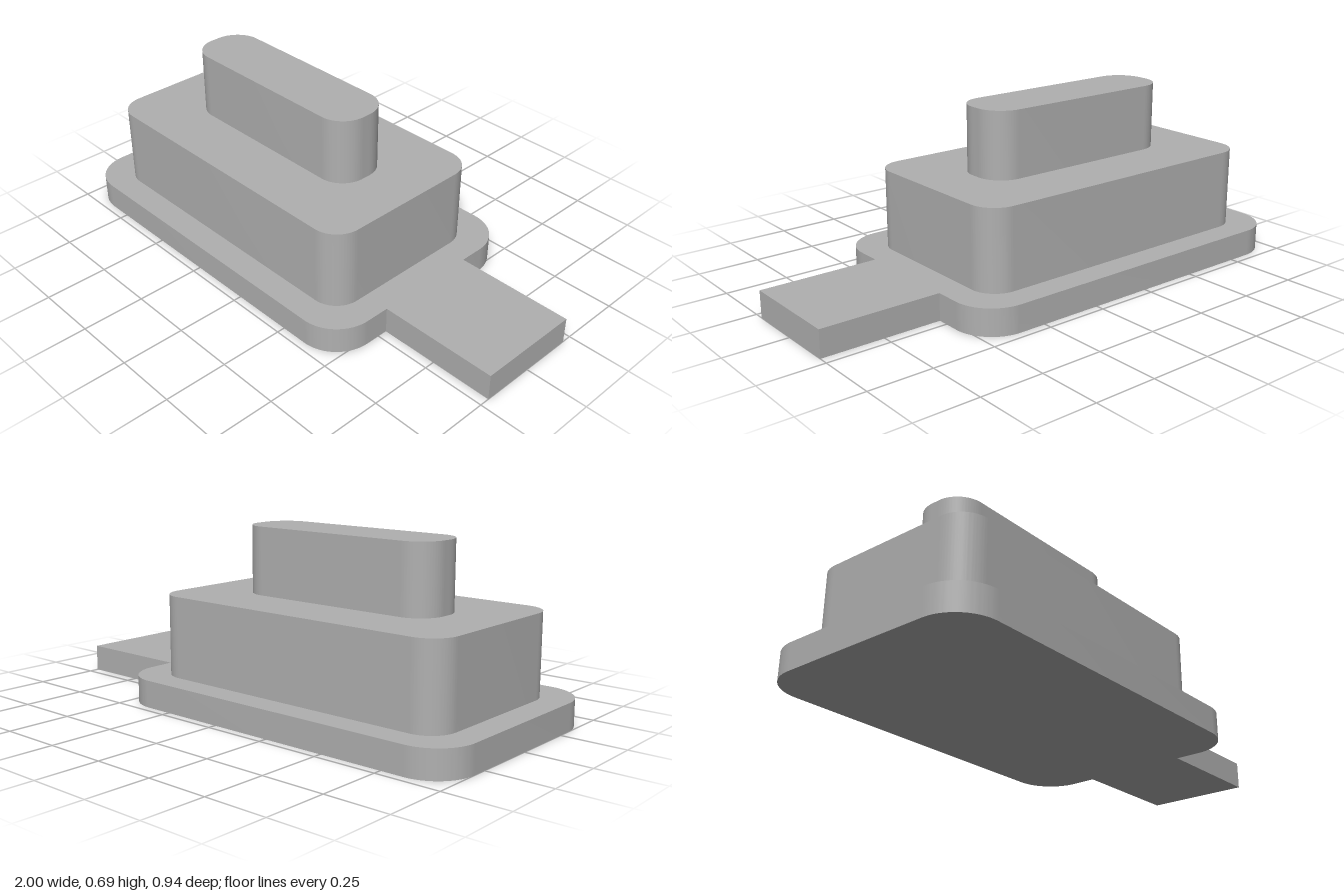
import * as THREE from 'three';
import { toCreasedNormals } from 'three/addons/utils/BufferGeometryUtils.js';

const grey = new THREE.MeshStandardMaterial({ color: 0xb0b0b0 });
grey.name = 'plain grey';

// Rounded rectangle in plan, with an optional square tab on its +x side
function outline(x0, x1, halfDepth, r, tab) {
  const s = new THREE.Shape();
  const d = halfDepth;
  s.moveTo(x0 + r, -d);
  s.lineTo(x1 - r, -d);
  s.absarc(x1 - r, -d + r, r, -Math.PI / 2, 0, false);
  if (tab) {
    s.lineTo(x1, -tab.halfDepth);
    s.lineTo(tab.x, -tab.halfDepth);
    s.lineTo(tab.x, tab.halfDepth);
    s.lineTo(x1, tab.halfDepth);
  }
  s.absarc(x1 - r, d - r, r, 0, Math.PI / 2, false);
  s.absarc(x0 + r, d - r, r, Math.PI / 2, Math.PI, false);
  s.absarc(x0 + r, -d + r, r, Math.PI, Math.PI * 1.5, false);
  return s;
}

// Extrude a plan outline upwards from y0 to y1
function tier(name, shape, y0, y1) {
  const g = new THREE.ExtrudeGeometry(shape, { depth: y1 - y0, bevelEnabled: false, curveSegments: 16 });
  g.rotateX(-Math.PI / 2);
  g.translate(0, y0, 0);
  const mesh = new THREE.Mesh(toCreasedNormals(g, Math.PI / 6), grey);
  mesh.name = name;
  return mesh;
}

export function createModel() {
  const model = new THREE.Group();
  model.name = 'steppedBlock';
  model.add(
    // Flange with its side tab
    tier('basePlateWithTab', outline(-1, 0.52, 0.469, 0.16, { x: 1, halfDepth: 0.211 }), 0, 0.106),
    // Main block
    tier('body', outline(-0.893, 0.413, 0.364, 0.107), 0.106, 0.424),
    // Narrow upper block
    tier('upperBlock', outline(-0.675, 0.195, 0.125, 0.107), 0.424, 0.689)
  );
  return model;
}
